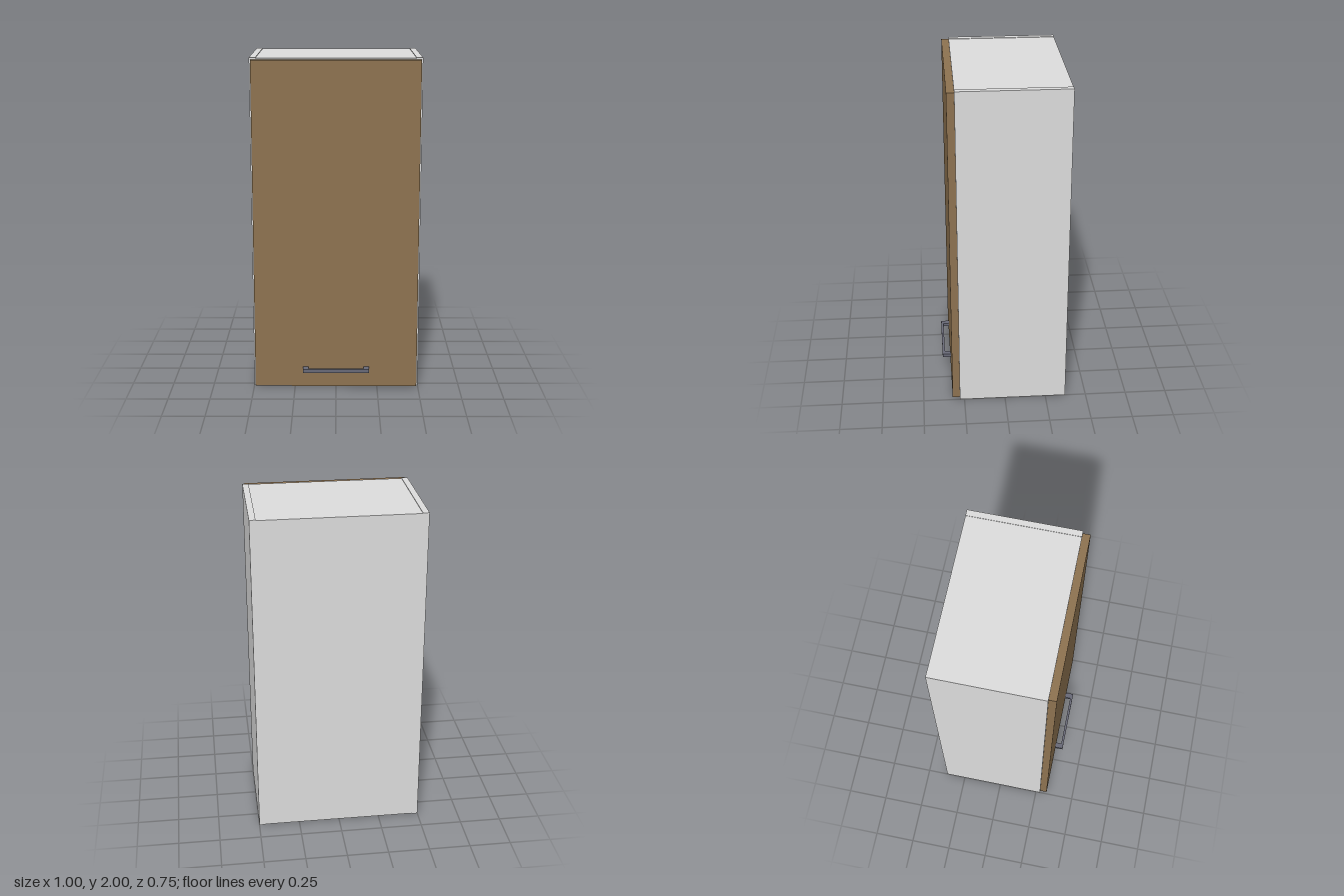
import * as THREE from 'three';

const material = (name, color) => {
  const m = new THREE.MeshStandardMaterial({ color });
  m.name = name;
  return m;
};

export function createModel() {
  const group = new THREE.Group();
  group.name = 'wallCabinet';
  const body = material('pale grey', 0xdcdcdc);
  const wood = material('brown wood', 0x8d7250);
  const metal = material('blue grey metal', 0x686977);

  // Box given by its lower and upper bounds on each axis
  const box = (name, mat, [x0, x1], [y0, y1], [z0, z1]) => {
    const mesh = new THREE.Mesh(new THREE.BoxGeometry(x1 - x0, y1 - y0, z1 - z0), mat);
    mesh.position.set((x0 + x1) / 2, (y0 + y1) / 2, (z0 + z1) / 2);
    mesh.name = name;
    group.add(mesh);
  };

  const back = -0.373, front = 0.278, board = 0.037, inset = 0.003;
  const inner = 0.5 - board;

  // Carcass: full-height sides, with top, bottom and back set between them
  box('leftSide', body, [inner, 0.5], [0, 2], [back, front]);
  box('rightSide', body, [-0.5, -inner], [0, 2], [back, front]);
  box('topPanel', body, [-inner, inner], [2 - inset - board, 2 - inset], [back, front]);
  box('bottomPanel', body, [-inner, inner], [inset, inset + board], [back, front]);
  box('backPanel', body, [-inner, inner], [inset + board, 2 - inset - board], [back, back + 0.02]);

  // Door
  box('door', wood, [-0.49, 0.49], [0.012, 1.99], [front, 0.322]);

  // Handle: a thin bar on two posts
  const handleY = [0.116, 0.138];
  box('handleBar', metal, [-0.2, 0.2], handleY, [0.358, 0.373]);
  box('handlePostLeft', metal, [0.167, 0.2], handleY, [0.322, 0.358]);
  box('handlePostRight', metal, [-0.2, -0.167], handleY, [0.322, 0.358]);

  return group;
}
